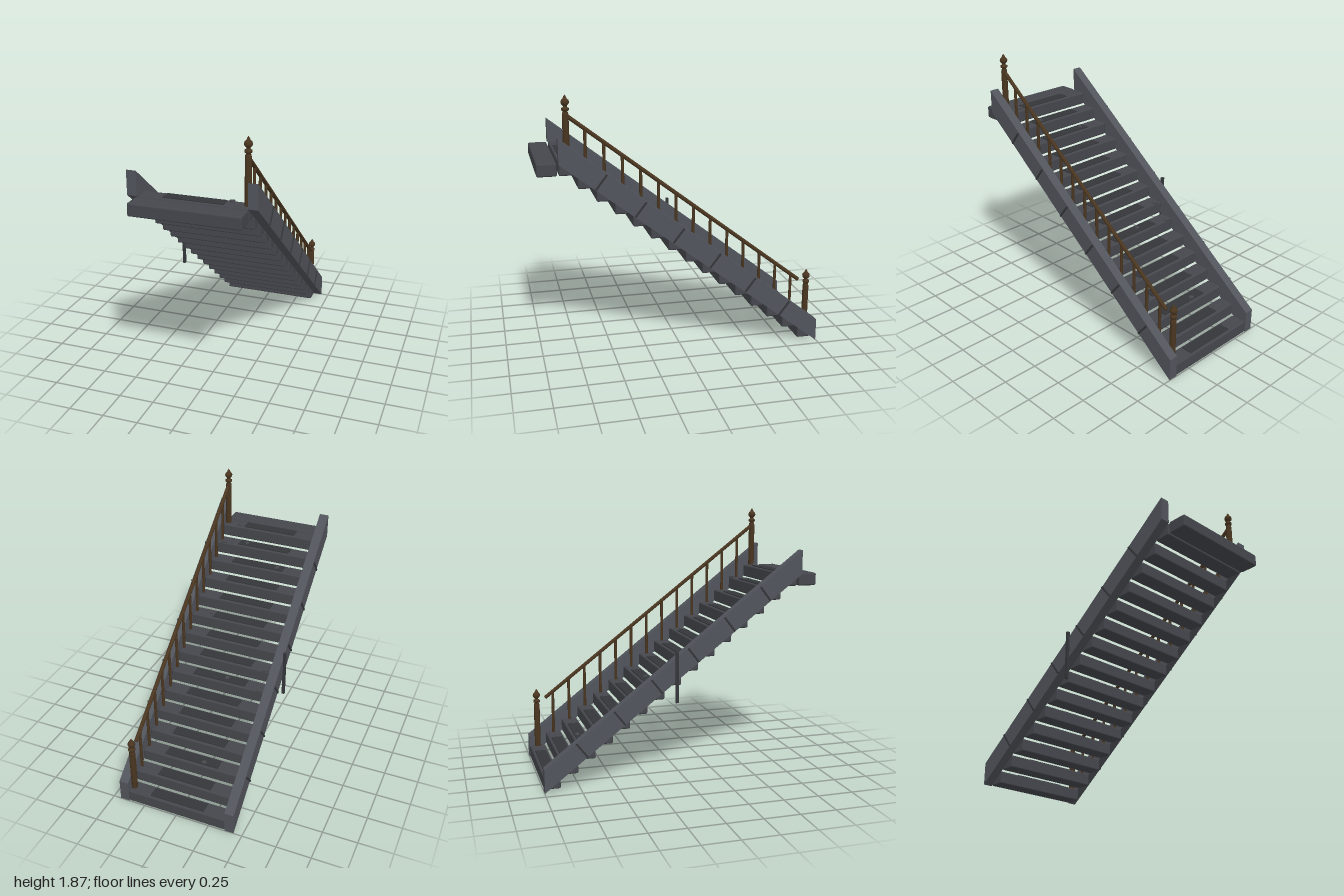
import * as THREE from 'three';
import { RoundedBoxGeometry } from 'three/addons/geometries/RoundedBoxGeometry.js';

const mat = (color, flatShading = false) => {
  const m = new THREE.MeshStandardMaterial({ color });
  m.flatShading = flatShading;
  return m;
};
const stepMat = mat(0x45474d);
const stringerMat = mat(0x51545b);
const plateMat = mat(0x34363a);
const stoneMat = mat(0x45474b, true);
const woodMat = mat(0x4a3620);

const STEPS = 15, RUN = 0.1236, RISE = 0.0957, STEP_H = 0.091;
const RAIL_X = 0.357;
const stepZ = i => -0.937 + RUN * i;
const stepTop = i => RISE * i + STEP_H;

export function createModel() {
  const root = new THREE.Group();
  root.name = 'staircase';

  const add = (name, geometry, material, x, y, z, parent = root) => {
    const mesh = new THREE.Mesh(geometry, material);
    mesh.name = name;
    mesh.position.set(x, y, z);
    parent.add(mesh);
    return mesh;
  };

  // Chamfered treads with a thin worn plate on each
  const treadGeo = new RoundedBoxGeometry(0.75, STEP_H, 0.117, 1, 0.011);
  const plateGeo = new THREE.BoxGeometry(0.41, 0.008, 0.08);
  for (let i = 0; i < STEPS; i++) {
    add('tread', treadGeo, stepMat, 0.004, stepTop(i) - STEP_H / 2, stepZ(i));
    add('treadPlate', plateGeo, plateMat, 0.003, stepTop(i) + 0.002, stepZ(i));
  }

  // Landing board at the top
  add('landing', new RoundedBoxGeometry(0.76, STEP_H, 0.137, 1, 0.012), stepMat,
    0.004, stepTop(STEPS - 1) - STEP_H / 2, 0.931);

  // Sloping side stringers with plumb-cut ends
  const side = new THREE.Shape([[-0.998, 0], [0.857, 1.43], [0.857, 1.6], [-0.998, 0.162]]
    .map(([z, y]) => new THREE.Vector2(-z, y)));
  const stringerGeo = new THREE.ExtrudeGeometry(side, { depth: 0.068, bevelEnabled: false });
  stringerGeo.translate(0, 0, -0.034).rotateY(Math.PI / 2);

  // Narrow straps set square to the slope on the outer faces
  const slope = Math.atan2(1.435, 1.855);
  const strapGeo = new THREE.BoxGeometry(0.02, 0.126, 0.013);
  for (const s of [-1, 1]) {
    const name = s > 0 ? 'left' : 'right';
    add(name + 'Stringer', stringerGeo, stringerMat, s * 0.407 + 0.003, 0, 0);
    for (let i = 0; i < 6; i++) {
      const z = -0.74 + 0.264 * i;
      const strap = add(name + 'Strap', strapGeo, plateMat,
        s * 0.438 + 0.003, 0.081 + (z + 0.998) * 0.7725, z);
      strap.rotation.x = -slope;
    }
  }

  // Turned newel posts with ball finials
  const post = [[0, 0], [0.022, 0], [0.022, 0.31], [0.019, 0.33], [0.014, 0.337],
    [0.025, 0.345], [0.025, 0.358], [0.013, 0.366], [0.013, 0.373], [0.024, 0.384],
    [0.028, 0.397], [0.024, 0.411], [0.013, 0.421], [0.009, 0.433], [0, 0.446]];
  const postGeo = new THREE.LatheGeometry(post.map(p => new THREE.Vector2(...p)), 12);
  for (const i of [0, STEPS - 1]) {
    add('newelPost', postGeo, woodMat, RAIL_X, stepTop(i) - 0.002, stepZ(i));
  }

  // Handrail
  const a = new THREE.Vector3(RAIL_X, 0.462, -0.872);
  const b = new THREE.Vector3(RAIL_X, 1.74, 0.79);
  const rail = add('handrail', new THREE.CylinderGeometry(0.014, 0.014, a.distanceTo(b), 10),
    woodMat, 0, 0, 0);
  rail.position.lerpVectors(a, b, 0.5);
  rail.quaternion.setFromUnitVectors(new THREE.Vector3(0, 1, 0), b.clone().sub(a).normalize());

  // Balusters, one per intermediate tread
  for (let i = 1; i < STEPS - 1; i++) {
    const z = stepZ(i);
    const top = THREE.MathUtils.mapLinear(z, a.z, b.z, a.y, b.y);
    const h = top - stepTop(i);
    add('baluster', new THREE.CylinderGeometry(0.011, 0.011, h, 8), woodMat,
      RAIL_X, stepTop(i) + h / 2, z);
  }

  // Upright rod fixed to the right stringer
  add('sideRod', new THREE.BoxGeometry(0.02, 0.355, 0.02), plateMat, -0.446, 0.742, -0.07);

  // Loose pebbles and chips lying on the treads
  const onTread = z => stepTop(Math.round((z + 0.937) / RUN));
  const pebbleGeo = new THREE.DodecahedronGeometry(0.021);
  [[-0.09, -0.71], [-0.05, -0.19], [0.24, 0.18], [-0.15, 0.54], [0.145, 0.66], [0.245, 0.765]]
    .forEach(([x, z], i) => {
      const p = add('pebble', pebbleGeo, stoneMat, x, onTread(z) + 0.009, z);
      p.scale.set(1, 0.5, 0.9);
      p.rotation.y = i * 1.3;
    });
  const chipGeo = new THREE.BoxGeometry(0.045, 0.012, 0.022);
  [[-0.32, -0.25], [-0.32, -0.12], [0.325, 0.62]].forEach(([x, z], i) => {
    add('chip', chipGeo, stoneMat, x, onTread(z) + 0.004, z).rotation.y = 0.2 * i;
  });

  return root;
}
